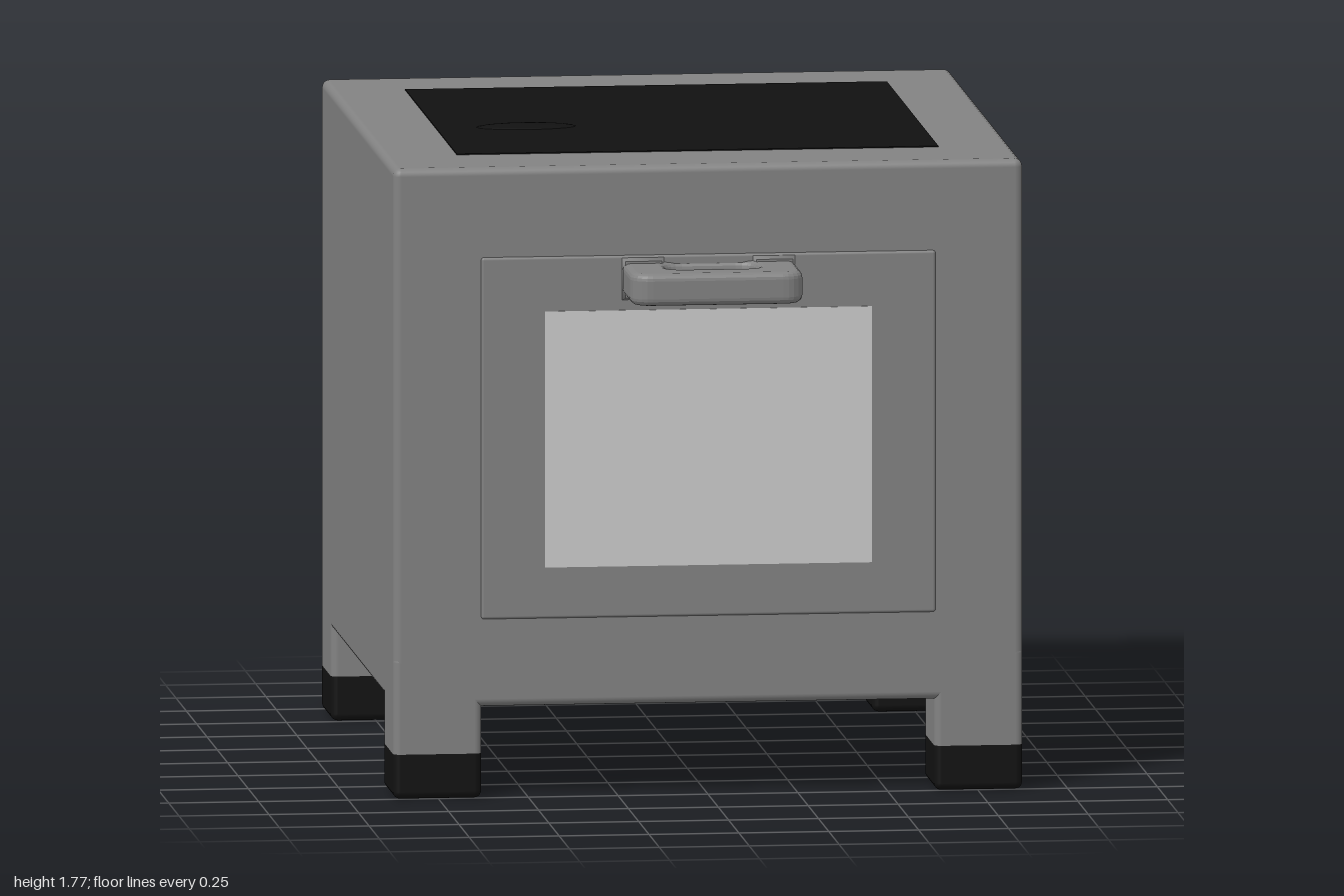
import * as THREE from 'three';
import { RoundedBoxGeometry } from 'three/addons/geometries/RoundedBoxGeometry.js';

const bodyMat = new THREE.MeshStandardMaterial({ color: 0x828282 });
const blackMat = new THREE.MeshStandardMaterial({ color: 0x111111 });
const windowMat = new THREE.MeshStandardMaterial({ color: 0xcccccc });

// Rounded box given by its limits
function roundedBox(x0, x1, y0, y1, z0, z1, r) {
  const g = new RoundedBoxGeometry(x1 - x0, y1 - y0, z1 - z0, 3, r);
  return g.translate((x0 + x1) / 2, (y0 + y1) / 2, (z0 + z1) / 2);
}

// Flatten everything beyond a height range, leaving square-cut ends
function cutY(g, lo, hi) {
  const p = g.attributes.position;
  for (let i = 0; i < p.count; i++) p.setY(i, Math.min(hi, Math.max(lo, p.getY(i))));
  return g;
}

// Rectangle outline with rounded corners
function roundedRect(path, x0, x1, y0, y1, r) {
  path.moveTo(x0 + r, y0);
  path.lineTo(x1 - r, y0);
  path.quadraticCurveTo(x1, y0, x1, y0 + r);
  path.lineTo(x1, y1 - r);
  path.quadraticCurveTo(x1, y1, x1 - r, y1);
  path.lineTo(x0 + r, y1);
  path.quadraticCurveTo(x0, y1, x0, y1 - r);
  path.lineTo(x0, y0 + r);
  path.quadraticCurveTo(x0, y0, x0 + r, y0);
  return path;
}

export function createModel() {
  const model = new THREE.Group();
  const add = (name, geometry, material) => {
    const mesh = new THREE.Mesh(geometry, material);
    mesh.name = name;
    model.add(mesh);
    return mesh;
  };

  // Cabinet
  add('body', roundedBox(-0.875, 0.875, 0.255, 1.76, -1, 0.757, 0.022), bodyMat);

  // Four legs with black feet
  for (const x of [-0.875, 0.63]) {
    for (const z of [-1, 0.512]) {
      const leg = roundedBox(x, x + 0.245, 0.08, 0.4, z, z + 0.245, 0.02);
      add('leg', cutY(leg, 0.125, 0.4), bodyMat);
      const foot = roundedBox(x, x + 0.245, 0, 0.17, z, z + 0.245, 0.02);
      add('foot', cutY(foot, 0, 0.125), blackMat);
    }
  }

  // Cooktop plate and the shallow bump on it
  add('cooktop', new THREE.BoxGeometry(1.34, 0.012, 1.25).translate(0, 1.757, -0.125), blackMat);
  const bump = new THREE.SphereGeometry(1, 20, 6, 0, Math.PI * 2, 0, Math.PI / 2);
  add('cooktopBump', bump.scale(0.14, 0.01, 0.06).translate(-0.42, 1.762, 0), blackMat);

  // Oven door with its window
  add('door', roundedBox(-0.632, 0.632, 0.5, 1.51, 0.72, 0.764, 0.008), bodyMat);
  add('window', new THREE.BoxGeometry(0.91, 0.715, 0.01).translate(0, 1, 0.761), windowMat);

  // Loop handle: outline lies in x and z, thickness runs along y
  const b = 0.02;
  const outline = roundedRect(new THREE.Shape(), -0.24 + b, 0.24 - b, 0.74, 1 - b, 0.04);
  const hole = roundedRect(new THREE.Path(), -0.125 - b, 0.125 + b, 0.77 - b, 0.9 + b, 0.07);
  outline.holes.push(hole);
  const loop = new THREE.ExtrudeGeometry(outline, {
    depth: 0.09 - 2 * b, bevelThickness: b, bevelSize: b, bevelSegments: 4, curveSegments: 6,
  });
  add('handle', loop.rotateX(Math.PI / 2).translate(0, 1.49 - b, 0), bodyMat);

  // Flared mounts where the handle meets the door
  for (const s of [-1, 1]) {
    const mount = new THREE.CylinderGeometry(0.072, 0.085, 0.024, 4, 1);
    mount.rotateY(Math.PI / 4).rotateX(Math.PI / 2);
    add('handleMount', mount.translate(s * 0.182, 1.445, 0.772), bodyMat);
  }

  return model;
}
